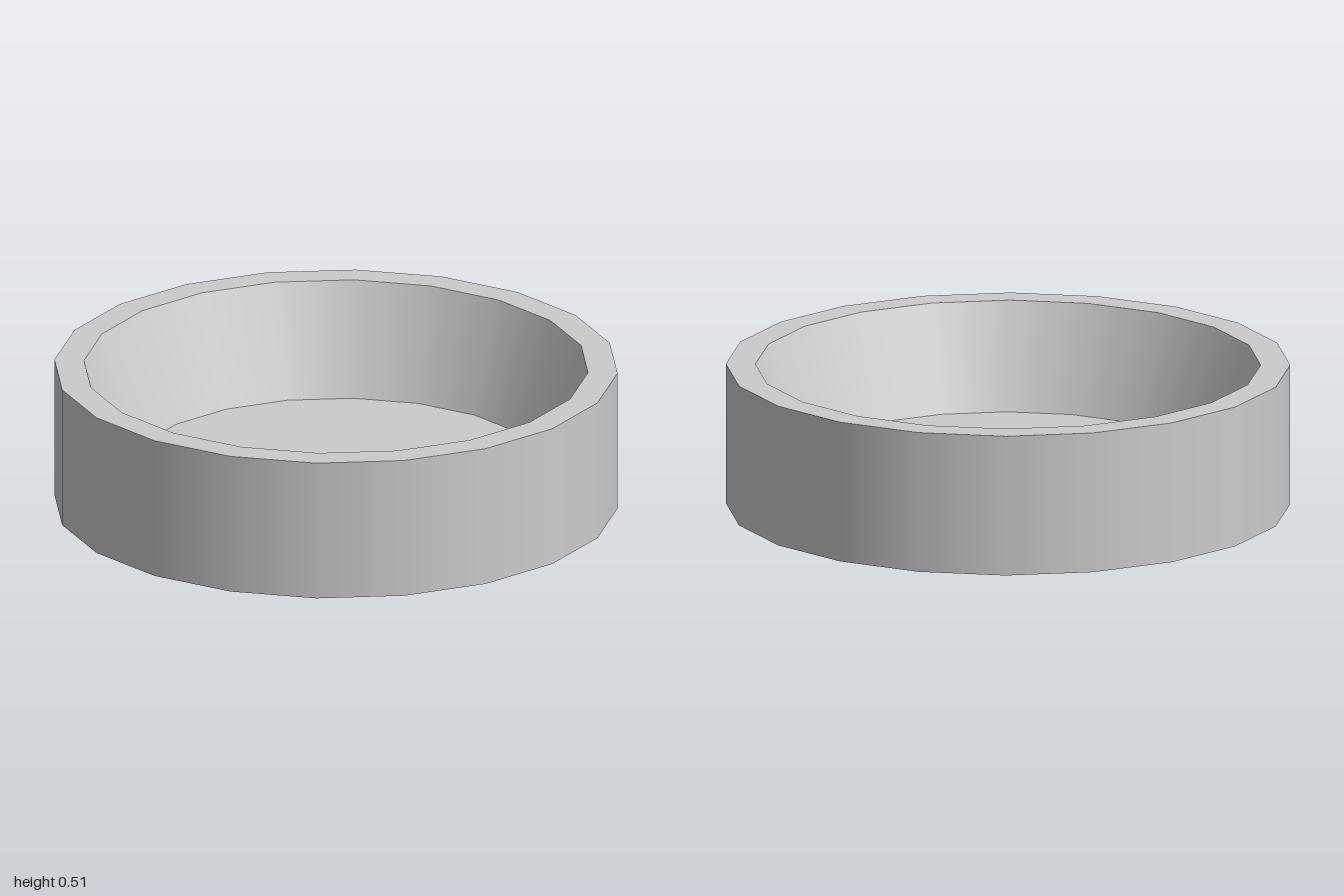
import * as THREE from 'three';

const SIDES = 20;
const HEIGHT = 0.51, FLOOR_Y = 0.13;
const OUTER_R = 1, RIM_R = 0.895, FLOOR_R = 0.748;
const FLOOR_SHIFT = 0.037; // the floor sits slightly towards the front

export function createModel() {
  const group = new THREE.Group();
  group.name = 'dish';
  const material = new THREE.MeshStandardMaterial({ color: 0xcccccc });
  const add = (name, geometry) => {
    const mesh = new THREE.Mesh(geometry, material);
    mesh.name = name;
    group.add(mesh);
  };
  const lathe = (...points) =>
    new THREE.LatheGeometry(points.map(([r, y]) => new THREE.Vector2(r, y)), SIDES);

  // Straight outer wall
  add('outerWall', lathe([OUTER_R, 0], [OUTER_R, HEIGHT]));

  // Flat rim
  add('rim', new THREE.RingGeometry(RIM_R, OUTER_R, SIDES)
    .rotateX(-Math.PI / 2).translate(0, HEIGHT, 0));

  // Sloping inner wall, its lower ring moved to meet the off-centre floor
  const inner = lathe([RIM_R, HEIGHT], [FLOOR_R, FLOOR_Y]);
  const pos = inner.attributes.position;
  for (let i = 0; i < pos.count; i++) {
    if (pos.getY(i) < HEIGHT - 0.01) pos.setZ(i, pos.getZ(i) + FLOOR_SHIFT);
  }
  add('innerWall', inner);

  // Inside floor and underside
  add('floor', new THREE.CircleGeometry(FLOOR_R, SIDES)
    .rotateX(-Math.PI / 2).translate(0, FLOOR_Y, FLOOR_SHIFT));
  add('base', new THREE.CircleGeometry(OUTER_R, SIDES).rotateX(Math.PI / 2));

  return group;
}
